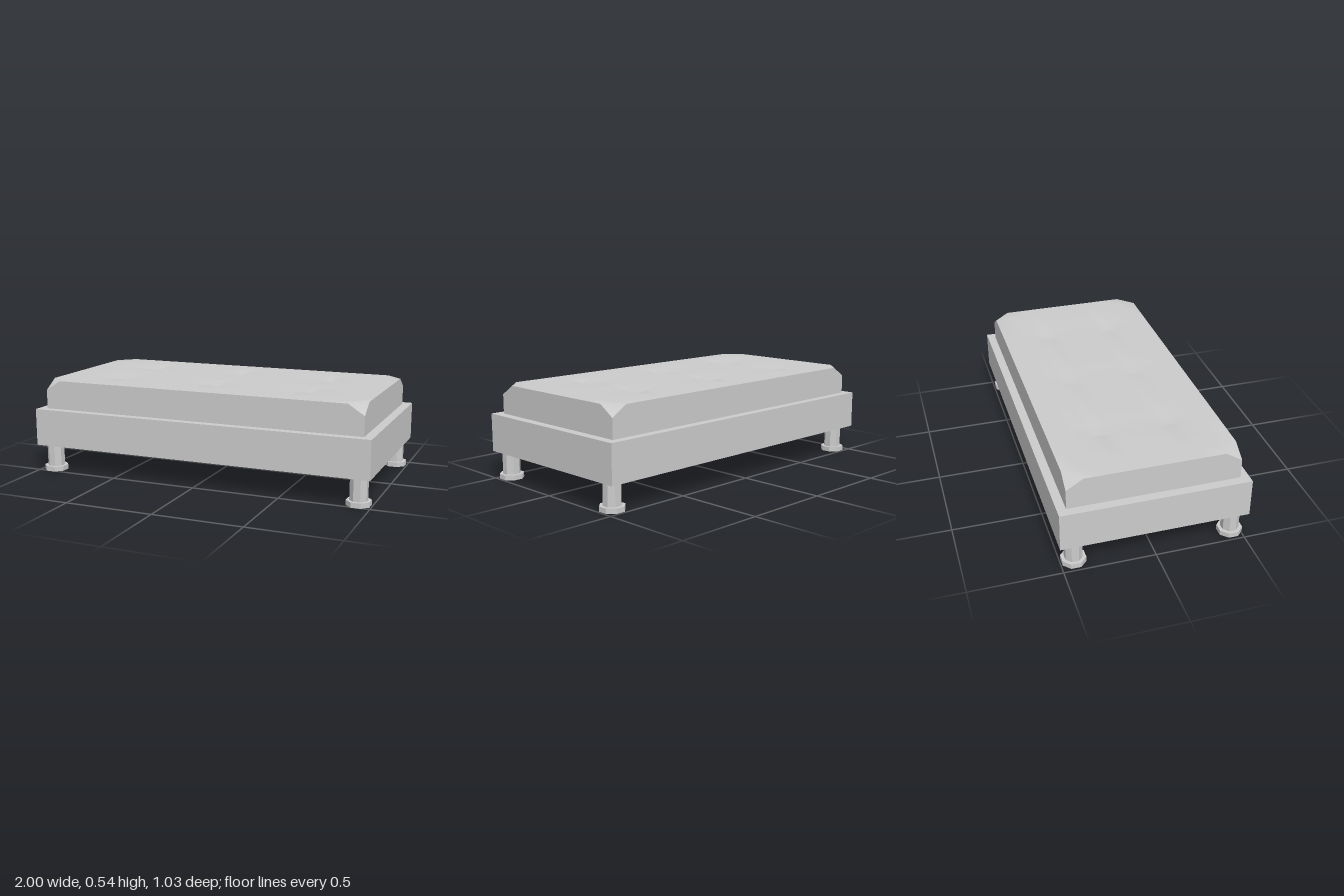
import * as THREE from 'three';

const BASE_TOP = 0.37, TOP = 0.537, W = 0.95, D = 0.467, CUT = 0.09, DROP = 0.058;
const material = new THREE.MeshStandardMaterial({ color: 0xcccccc });
const flat = new THREE.MeshStandardMaterial({ color: 0xcccccc, flatShading: true });

function add(parent, name, geometry, mat, x = 0, y = 0, z = 0) {
  const mesh = new THREE.Mesh(geometry, mat);
  mesh.name = name;
  mesh.position.set(x, y, z);
  parent.add(mesh);
  return mesh;
}

// Octagonal prism with a flat side facing each axis
function octagon(apothem, height) {
  const r = apothem / Math.cos(Math.PI / 8);
  return new THREE.CylinderGeometry(r, r, height, 8).rotateY(Math.PI / 8);
}

// Mattress top: a grid with six tufted dents and four lowered corners
function mattressTop() {
  const dentX = [-0.56, 0, 0.56], dentZ = [-0.19, 0.19];
  const lines = (edge, centres, half) => [
    -edge, -edge + CUT,
    ...centres.flatMap(c => [c - half, c, c + half]),
    edge - CUT, edge,
  ];
  const xs = lines(W, dentX, 0.05), zs = lines(D, dentZ, 0.075);
  const nx = xs.length;
  const isDent = (i, j) => dentX.includes(xs[i]) && dentZ.includes(zs[j]);
  const isCorner = (i, j) => Math.abs(xs[i]) === W && Math.abs(zs[j]) === D;
  const pos = [], index = [];
  zs.forEach((z, j) => xs.forEach((x, i) => {
    pos.push(x, TOP - (isDent(i, j) ? 0.045 : isCorner(i, j) ? DROP : 0), z);
  }));
  for (let j = 0; j < zs.length - 1; j++) {
    for (let i = 0; i < nx - 1; i++) {
      const a = j * nx + i, b = a + nx, c = b + 1, d = a + 1;
      // split through a dent centre, but across a lowered corner
      const splitAC = isDent(i, j) || isDent(i + 1, j + 1) ||
        isCorner(i, j + 1) || isCorner(i + 1, j);
      if (splitAC) index.push(a, b, c, a, c, d);
      else index.push(a, b, d, b, c, d);
    }
  }
  const g = new THREE.BufferGeometry();
  g.setAttribute('position', new THREE.Float32BufferAttribute(pos, 3));
  g.setIndex(index);
  g.computeVertexNormals();
  return g;
}

// Upright mattress side with its two upper corners cut off
function mattressSide(half) {
  const s = new THREE.Shape([
    [-half, BASE_TOP], [half, BASE_TOP], [half, TOP - DROP],
    [half - CUT, TOP], [-half + CUT, TOP], [-half, TOP - DROP],
  ].map(p => new THREE.Vector2(...p)));
  return new THREE.ShapeGeometry(s);
}

export function createModel() {
  const model = new THREE.Group();
  model.name = 'bed';

  // Bed base
  const baseBottom = 0.155;
  add(model, 'base', new THREE.BoxGeometry(2, BASE_TOP - baseBottom, 1.03), material,
    0, (BASE_TOP + baseBottom) / 2, 0);

  // Mattress
  const mattress = new THREE.Group();
  mattress.name = 'mattress';
  model.add(mattress);
  add(mattress, 'mattressTop', mattressTop(), material);
  ['front', 'left', 'back', 'right'].forEach((side, k) => {
    const [half, out] = k % 2 ? [D, W] : [W, D];
    const g = mattressSide(half).translate(0, 0, out).rotateY(k * Math.PI / 2);
    add(mattress, side + 'Side', g, material);
  });

  // Legs with wider feet
  const footHeight = 0.028;
  for (const x of [-0.918, 0.927]) {
    for (const z of [-0.428, 0.445]) {
      const leg = new THREE.Group();
      leg.name = (z > 0 ? 'front' : 'back') + (x > 0 ? 'Left' : 'Right') + 'Leg';
      leg.position.set(x, 0, z);
      model.add(leg);
      add(leg, 'post', octagon(0.046, baseBottom - footHeight), flat,
        0, (baseBottom + footHeight) / 2, 0);
      add(leg, 'foot', octagon(0.064, footHeight), flat, 0, footHeight / 2, 0);
    }
  }
  return model;
}
